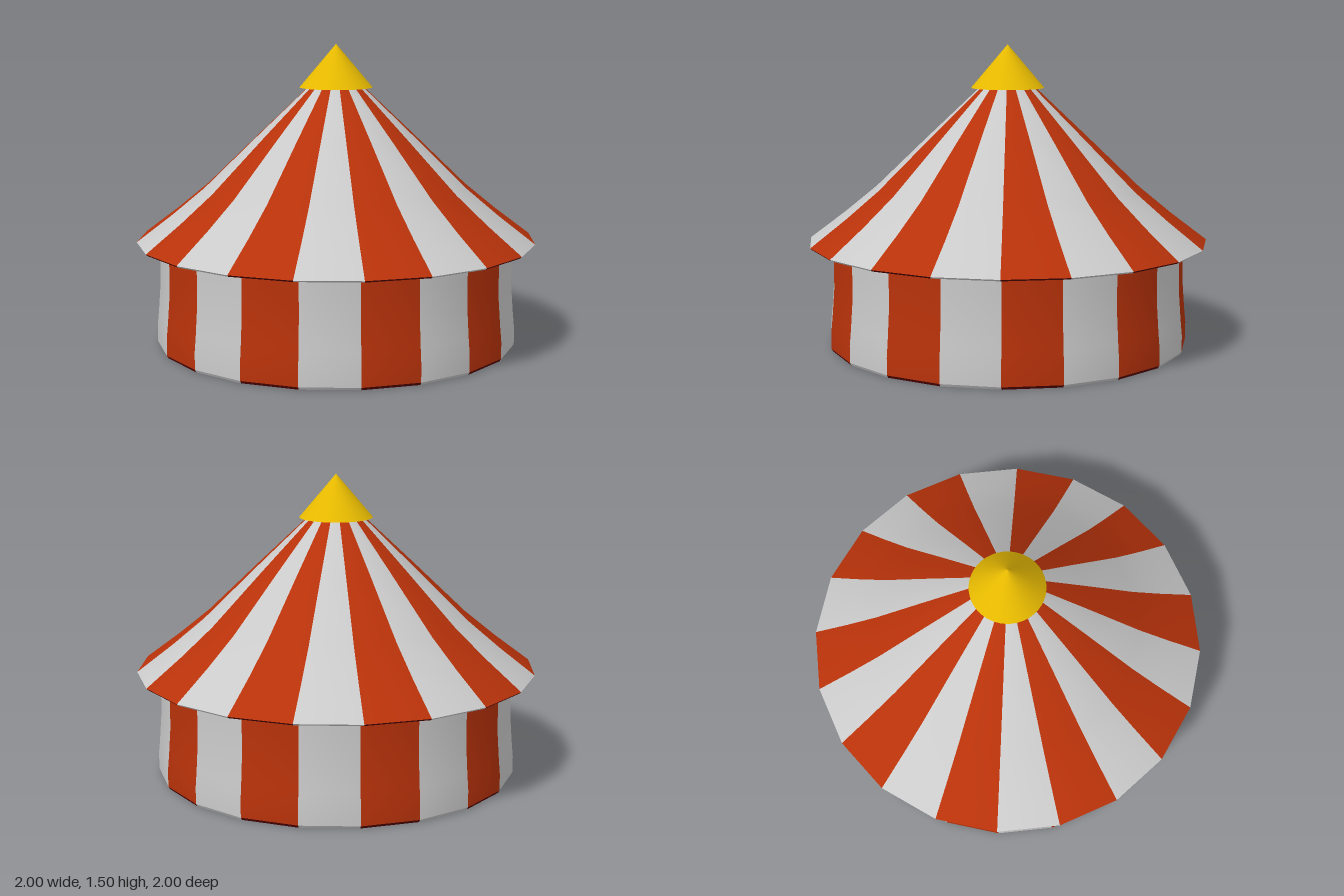
import * as THREE from 'three';
import { mergeGeometries } from 'three/addons/utils/BufferGeometryUtils.js';

const SIDES = 20;
const STEP = (Math.PI * 2) / SIDES;

const material = (name, color) => {
  const m = new THREE.MeshStandardMaterial({ color });
  m.name = name;
  return m;
};
const toPoints = (profile) => profile.map(([r, y]) => new THREE.Vector2(r, y));

export function createModel() {
  const white = material('white canvas', 0xcacaca);
  const red = material('red canvas', 0xb8320a);
  const darkRed = material('dark red edge', 0x580000);
  const yellow = material('yellow cap', 0xf8c800);

  const tent = new THREE.Group();
  tent.name = 'stripedTent';

  // Revolve a profile in twenty flat sided sectors, alternating two colours
  function striped(name, profile, oddMaterial) {
    const group = new THREE.Group();
    group.name = name;
    const points = toPoints(profile);
    [white, oddMaterial].forEach((mat, offset) => {
      const sectors = [];
      for (let i = offset; i < SIDES; i += 2) {
        sectors.push(new THREE.LatheGeometry(points, 1, i * STEP, STEP));
      }
      const mesh = new THREE.Mesh(mergeGeometries(sectors), mat);
      mesh.name = name + (offset ? 'RedStripes' : 'WhiteStripes');
      group.add(mesh);
    });
    tent.add(group);
  }

  // Floor, its small centre disc and the bevelled hem
  striped('floor', [[0.05, 0.005], [0.897, 0.005]], darkRed);
  const centre = new THREE.Mesh(
    new THREE.LatheGeometry(toPoints([[0, 0.005], [0.05, 0.005]]), SIDES), white);
  centre.name = 'floorCentre';
  tent.add(centre);
  striped('hem', [[0.897, 0.005], [0.905, 0.018]], darkRed);

  // Walls flare a little at the foot and run up into the roof
  striped('wall', [[0.905, 0.018], [0.905, 0.1], [0.897, 0.18], [0.886, 0.32],
    [0.885, 0.45], [0.885, 0.605]], red);

  // Flared roof, thin eave edge and sloped underside
  striped('roof', [[1, 0.528], [0.955, 0.562], [0.82, 0.664], [0.66, 0.795],
    [0.4, 1.045], [0.13, 1.3], [0.1, 1.33]], red);
  striped('eaveEdge', [[0.992, 0.52], [1, 0.528]], darkRed);
  striped('eaveUnderside', [[0.87, 0.61], [0.992, 0.52]], red);

  // Round cap on the peak
  const cap = new THREE.Mesh(new THREE.ConeGeometry(0.182, 0.215, 40), yellow);
  cap.name = 'peakCap';
  cap.position.y = 1.3975;
  tent.add(cap);

  return tent;
}
